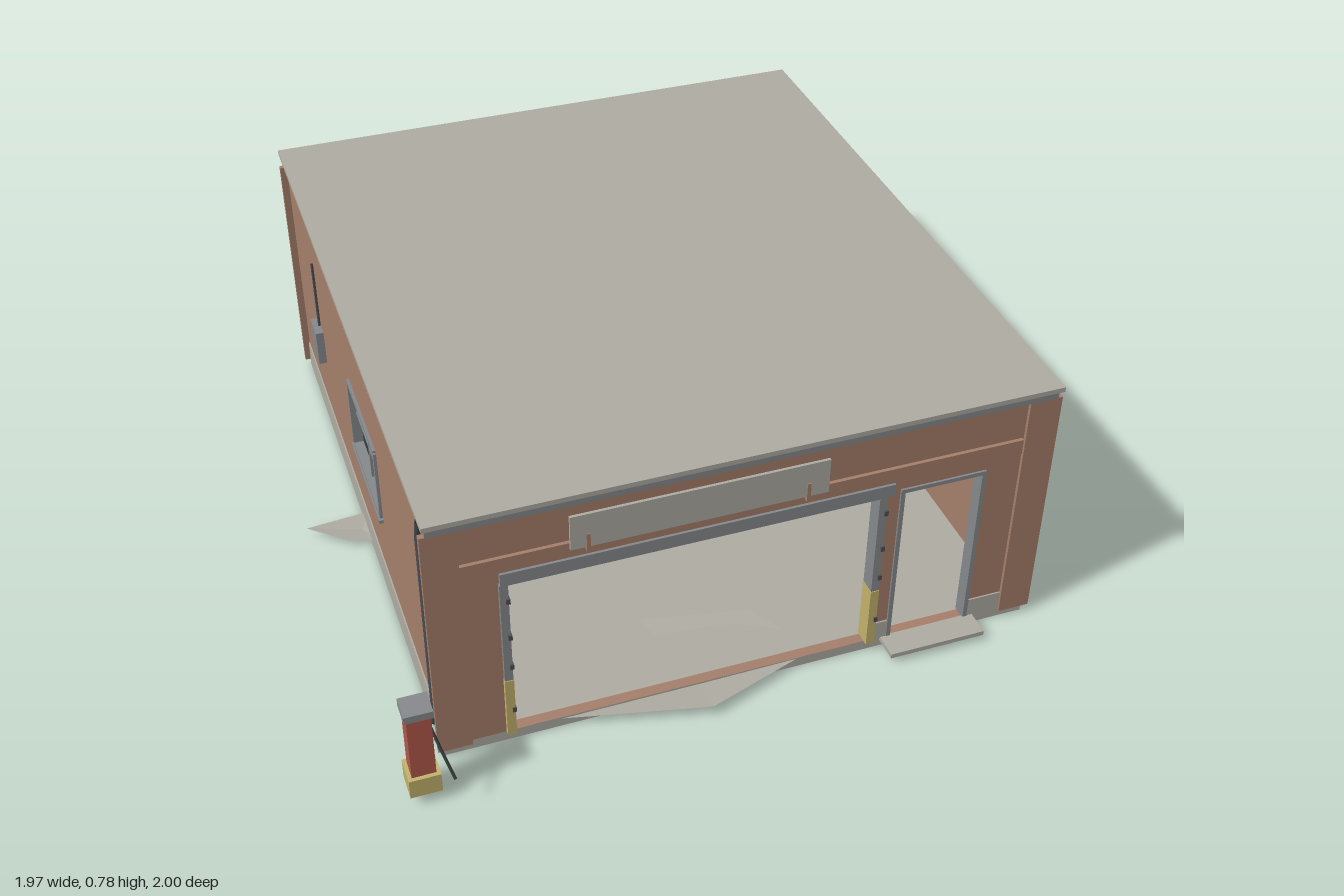
import * as THREE from 'three';

const mat = (name, color) => new THREE.MeshStandardMaterial({ name, color, side: THREE.DoubleSide });

export function createModel() {
  const root = new THREE.Group();
  root.name = 'abandonedGarage';
  const brick = mat('brick', 0xa67f6b);
  const concrete = mat('concrete', 0xb0ada3);
  const steel = mat('steel', 0x878a8d);
  const iron = mat('darkIron', 0x4a4e52);
  const dark = mat('rubberAndGlass', 0x363f40);
  const red = mat('redPaint', 0xb0584a);
  const yellow = mat('yellowPaint', 0xc4b36e);

  const add = (name, geo, m, parent = root) => {
    const mesh = new THREE.Mesh(geo, m);
    mesh.name = name;
    parent.add(mesh);
    return mesh;
  };
  // Box given by its minimum and maximum corners
  const box = (name, m, x0, x1, y0, y1, z0, z1, parent = root) => {
    const mesh = add(name, new THREE.BoxGeometry(x1 - x0, y1 - y0, z1 - z0), m, parent);
    mesh.position.set((x0 + x1) / 2, (y0 + y1) / 2, (z0 + z1) / 2);
    return mesh;
  };
  const rectPath = (P, x0, x1, y0, y1) => new P([[x0, y0], [x1, y0], [x1, y1], [x0, y1]].map(p => new THREE.Vector2(...p)));

  // Extruded wall with rectangular holes
  const T = 0.03, X0 = -0.81, X1 = 0.82, Z0 = -0.965, Z1 = 0.83, FLOOR = 0.03, TOP = 0.745;
  const wall = (name, a, b, holes) => {
    const s = rectPath(THREE.Shape, a, b, FLOOR, TOP);
    s.holes = holes.map(h => rectPath(THREE.Path, ...h));
    return add(name, new THREE.ExtrudeGeometry(s, { depth: T, bevelEnabled: false }), brick);
  };

  // Shell of the building
  box('floorSlab', concrete, X0, X1, 0, FLOOR, Z0, Z1);
  wall('frontWall', X0, X1, [[-0.64, 0.37, 0.0301, 0.54], [0.42, 0.645, 0.0301, 0.54]]).position.z = Z1 - T;
  wall('backWall', X0, X1, [[-0.48, -0.22, 0.27, 0.44]]).position.z = Z0;
  const rightWall = wall('barrelSideWall', Z0 + T, Z1 - T, [[-0.31, 0.035, 0.275, 0.495]]);
  rightWall.rotation.y = -Math.PI / 2;
  rightWall.position.x = X1;
  const leftWall = wall('meterSideWall', Z0 + T, Z1 - T, [[-0.14, 0.2, 0.285, 0.505]]);
  leftWall.rotation.y = -Math.PI / 2;
  leftWall.position.x = X0 + T;
  box('fascia', steel, X0 - 0.006, X1 + 0.006, 0.74, 0.768, -0.985, 0.842);
  box('roof', concrete, -0.825, 0.835, 0.766, 0.78, -1, 0.853);

  // Concrete plinth strips
  const P = 0.004;
  box('plinth', concrete, X1, X1 + P, 0, 0.09, Z0, Z1);
  box('plinth', concrete, X0 - P, X0, 0, 0.09, Z0, Z1);
  box('plinth', concrete, X0, X1, 0, 0.09, Z0 - P, Z0);
  for (const [a, b] of [[0.375, 0.415], [0.65, 0.75]]) box('plinth', concrete, a, b, FLOOR, 0.09, Z1, Z1 + P);

  // Corner pilasters and front beam
  for (const [a, b] of [[-0.83, -0.74], [0.75, 0.84]])
    for (const [c, d] of [[Z0 - 0.01, Z0 + 0.006], [Z1 - 0.006, Z1 + 0.01]])
      box('pilaster', brick, a, b, 0.025, 0.74, c, d);
  box('frontBeam', brick, -0.74, 0.745, 0.58, 0.625, Z1, Z1 + 0.01);

  // Blank sign board with brackets
  box('signBoard', concrete, -0.47, 0.2, 0.608, 0.71, Z1 + 0.01, Z1 + 0.018);
  for (const x of [-0.425, 0.145]) box('signBracket', brick, x - 0.005, x + 0.005, 0.595, 0.65, Z1, Z1 + 0.021);

  // Garage and side door frames
  box('garageLintel', steel, -0.645, 0.39, 0.537, 0.575, 0.795, Z1 + 0.012);
  for (const x of [-0.637, 0.36]) {
    box('garageJamb', steel, x - 0.011, x + 0.011, 0.22, 0.54, 0.795, Z1 + 0.012);
    box('garageJambGuard', yellow, x - 0.012, x + 0.012, FLOOR, 0.22, 0.794, Z1 + 0.014);
    for (const y of [0.11, 0.26, 0.36, 0.48]) box('jambHinge', iron, x + 0.004, x + 0.014, y, y + 0.015, 0.82, Z1 + 0.017);
  }
  box('doorHead', steel, 0.412, 0.652, 0.533, 0.545, 0.795, Z1 + 0.006);
  for (const x of [0.417, 0.647]) box('doorJamb', steel, x - 0.006, x + 0.006, FLOOR, 0.54, 0.795, Z1 + 0.006);
  box('doorStep', concrete, 0.395, 0.67, 0.02, 0.034, 0.83, 0.905);

  // Window in its own frame, outside facing local +z
  const makeWindow = (name, w, h, panes, boards) => {
    const g = new THREE.Group();
    g.name = name;
    root.add(g);
    const a = w / 2, b = h / 2, f = 0.014;
    for (const s of [-1, 1]) {
      box('frameRail', steel, -a, a, s * b - f / 2, s * b + f / 2, -0.03, 0.008, g);
      box('frameStile', steel, s * a - f / 2, s * a + f / 2, -b, b, -0.03, 0.008, g);
    }
    box('mullion', steel, -0.004, 0.004, -b, b, -0.02, -0.008, g);
    box('glazingBar', steel, -a, a, -0.004, 0.004, -0.02, -0.008, g);
    box('sill', steel, -a - 0.012, a + 0.012, -b - 0.014, -b - 0.004, -0.01, 0.012, g);
    for (const [i, j] of panes)
      box('pane', dark, i < 0 ? -a : 0, i < 0 ? 0 : a, j < 0 ? -b : 0, j < 0 ? 0 : b, -0.024, -0.02, g);
    // Each board runs from a left height to a right height
    boards.forEach(([l, r], i) => {
      const dy = (r - l) * h, len = Math.hypot(w * 1.08, dy);
      const m = box('board', concrete, -len / 2, len / 2, -h * 0.09, h * 0.09, 0, 0.005, g);
      m.position.set(0, (l + r) / 2 * h, 0.009 + 0.0025 * (i % 3));
      m.rotation.z = Math.atan2(dy, w * 1.08);
    });
    return g;
  };
  const planks = [[0.12, 0.4], [0.2, 0.08], [-0.02, -0.34], [-0.4, -0.08], [-0.28, -0.4]];
  const rightWindow = makeWindow('barrelSideWindow', 0.345, 0.22, [[-1, -1], [1, -1]], planks);
  rightWindow.position.set(X1, 0.385, -0.137);
  rightWindow.rotation.y = Math.PI / 2;
  const leftWindow = makeWindow('meterSideWindow', 0.34, 0.22, [[-1, -1]], []);
  leftWindow.position.set(X0, 0.395, 0.03);
  leftWindow.rotation.y = -Math.PI / 2;
  const backWindow = makeWindow('backWindow', 0.26, 0.17, [[-1, -1], [1, -1], [-1, 1]], planks.slice(0, 4));
  backWindow.position.set(-0.35, 0.355, Z0);
  backWindow.rotation.y = Math.PI;

  // Drain pipes, conduit and meter box
  const tube = (name, pts, r, m) => {
    const path = new THREE.CurvePath();
    const v = pts.map(p => new THREE.Vector3(...p));
    for (let i = 1; i < v.length; i++) path.add(new THREE.LineCurve3(v[i - 1], v[i]));
    return add(name, new THREE.TubeGeometry(path, 40, r, 8), m);
  };
  for (const [x, z, s] of [[X1 + 0.008, -0.83, 1], [X0 - 0.008, 0.77, -1]])
    tube('drainPipe', [[x, 0.755, z - 0.025 * s], [x, 0.69, z], [x, 0.09, z], [x, 0.04, z + 0.025 * s]], 0.009, iron);
  box('meterBox', steel, -0.833, X0, 0.27, 0.38, -0.66, -0.575);
  tube('conduit', [[-0.814, 0.38, -0.617], [-0.814, 0.6, -0.617]], 0.004, iron);

  // Oil barrels with rolled ribs
  const barrelProfile = [[0, 0], [0.062, 0], [0.065, 0.004], [0.062, 0.008], [0.062, 0.058], [0.065, 0.063], [0.062, 0.068],
    [0.062, 0.122], [0.065, 0.127], [0.062, 0.132], [0.062, 0.182], [0.065, 0.187], [0.063, 0.19], [0.059, 0.186], [0, 0.186]]
    .map(p => new THREE.Vector2(...p));
  for (const [name, m, x, z] of [['rustyBarrel', brick, 0.913, 0.538], ['redBarrel', red, 0.921, 0.396]]) {
    const geo = new THREE.LatheGeometry(barrelProfile, 20).toNonIndexed();
    geo.computeVertexNormals();
    add(name, geo, m).position.set(x, FLOOR, z);
    const bung = add('barrelBung', new THREE.CylinderGeometry(0.008, 0.008, 0.006, 8), m);
    bung.position.set(x + 0.03, 0.218, z);
  }

  // Stacked tyres
  const tyreProfile = [[0.04, 0], [0.06, 0], [0.067, 0.008], [0.067, 0.034], [0.06, 0.042], [0.04, 0.042], [0.038, 0.021], [0.04, 0]]
    .map(p => new THREE.Vector2(...p));
  for (const i of [0, 1]) add('tyre', new THREE.LatheGeometry(tyreProfile, 20), dark).position.set(0.9, FLOOR + i * 0.043, 0.235 - i * 0.006);

  // Fuel pump with hose
  box('pumpBase', yellow, -0.932, -0.85, 0.032, 0.09, 0.89, 0.968);
  box('pumpBody', red, -0.922, -0.86, 0.03, 0.285, 0.9, 0.957);
  box('pumpCap', steel, -0.928, -0.854, 0.285, 0.307, 0.894, 0.963);
  tube('pumpHose', [[-0.86, 0.225, 0.935], [-0.845, 0.17, 0.96], [-0.822, 0.095, 0.998]], 0.004, dark);

  // Low drifts of dirt: a fan of triangles round a centre
  const drift = (name, c, rim) => {
    const pos = [];
    rim.forEach((p, i) => pos.push(...c, ...rim[(i + 1) % rim.length], ...p));
    const geo = new THREE.BufferGeometry();
    geo.setAttribute('position', new THREE.Float32BufferAttribute(pos, 3));
    geo.computeVertexNormals();
    add(name, geo, concrete);
  };
  drift('doorwayDrift', [-0.13, 0.018, 0.75], [[0.21, 0.026, 0.81], [-0.12, 0.033, 0.925], [-0.5, 0.025, 0.83],
    [-0.45, 0.034, 0.66], [-0.2, 0.036, 0.56], [0.1, 0.034, 0.62]].reverse());
  drift('sideDrift', [-0.83, 0.014, -0.08], [[-0.8, 0.018, -0.015], [-0.88, 0.02, -0.04], [-0.985, 0.026, -0.122],
    [-0.8, 0.02, -0.145]].reverse());

  return root;
}
